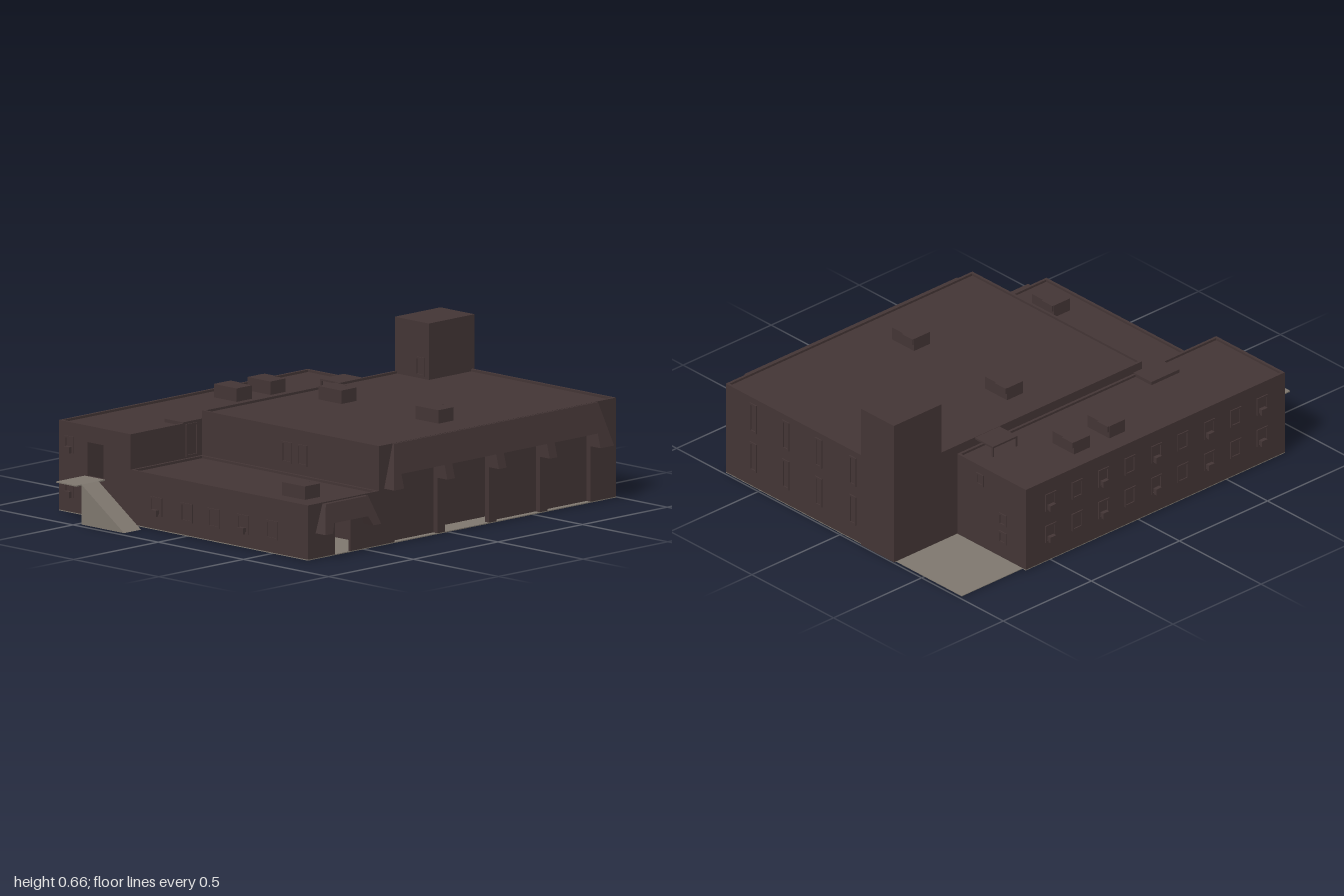
import * as THREE from 'three';

const brick = new THREE.MeshStandardMaterial({ color: 0x433535 });
brick.name = 'brick';
const paving = new THREE.MeshStandardMaterial({ color: 0x7e776e });
paving.name = 'paving';

export function createModel() {
  const model = new THREE.Group();

  const add = (name, geometry, material = brick, parent = model) => {
    const mesh = new THREE.Mesh(geometry, material);
    mesh.name = name;
    parent.add(mesh);
    return mesh;
  };
  // Box given by its limits on each axis
  const block = (name, x0, x1, y0, y1, z0, z1, material = brick, parent = model) => {
    const mesh = add(name, new THREE.BoxGeometry(x1 - x0, y1 - y0, z1 - z0), material, parent);
    mesh.position.set((x0 + x1) / 2, (y0 + y1) / 2, (z0 + z1) / 2);
    return mesh;
  };
  const polygon = points => new THREE.Shape(points.map(([x, y]) => new THREE.Vector2(x, y)));

  // Hollow building: grey floor, thin walls, sunken roof and low parapet; one wall may be left out
  const t = 0.012;
  const volume = (name, x0, x1, h, z0, z1, missing) => {
    const group = new THREE.Group();
    group.name = name;
    model.add(group);
    const y = h - 0.01;
    block('floor', x0, x1, 0, 0.004, z0, z1, paving, group);
    block('roof', x0 + t, x1 - t, y - t, y, z0 + t, z1 - t, brick, group);
    const walls = {
      back: [x0, x1, z0, z0 + t], front: [x0, x1, z1 - t, z1],
      left: [x0, x0 + t, z0 + t, z1 - t], right: [x1 - t, x1, z0 + t, z1 - t],
    };
    for (const [side, [a, b, c, d]] of Object.entries(walls)) {
      block(side + 'Wall', a, b, side === missing ? y - t : 0.004, h, c, d, brick, group);
    }
  };
  volume('mainHall', -0.41, 0.99, 0.425, -0.33, 0.71, 'front');
  volume('lowWing', -0.83, -0.41, 0.235, -0.33, 0.71, 'front');
  volume('backWing', -0.83, 0.64, 0.385, -0.75, -0.33, 'left');
  block('tower', 0.73, 1, 0.004, 0.655, -0.33, -0.13);

  // Low wing front wall around the open entrance
  block('entranceWallLeft', -0.83, -0.67, 0.004, 0.213, 0.71 - t, 0.71);
  block('entranceWallRight', -0.58, -0.41, 0.004, 0.213, 0.71 - t, 0.71);
  block('entranceLintel', -0.67, -0.58, 0.145, 0.213, 0.71 - t, 0.71);

  // Back wing end wall around the open side door
  block('endWallBack', -0.83, -0.83 + t, 0.004, 0.363, -0.738, -0.585);
  block('endWallFront', -0.83, -0.83 + t, 0.004, 0.363, -0.49, -0.342);
  block('endWallBelowDoor', -0.83, -0.83 + t, 0.004, 0.17, -0.585, -0.49);
  block('endWallAboveDoor', -0.83, -0.83 + t, 0.315, 0.363, -0.585, -0.49);

  // Hall front wall with four recessed vehicle doors, one slightly raised
  const bays = [[-0.32, -0.065], [-0.02, 0.24], [0.285, 0.54], [0.585, 0.84]];
  const facade = [[-0.41, 0.004]];
  for (const [a, b] of bays) facade.push([a, 0.004], [a, 0.3], [b, 0.3], [b, 0.004]);
  facade.push([0.99, 0.004], [0.99, 0.403], [-0.41, 0.403]);
  add('garageFrontWall', new THREE.ExtrudeGeometry(polygon(facade), { depth: 0.025, bevelEnabled: false }))
    .position.z = 0.685;
  bays.forEach(([a, b], i) =>
    block('garageDoor', a, b - 0.006, i === 1 ? 0.028 : 0.006, 0.292, 0.685, 0.692));

  // Sloping canopy: a front outline whose face leans outward towards the bottom
  const canopy = (name, points, top, z, slope) => {
    const geometry = new THREE.ExtrudeGeometry(polygon(points), { depth: 1, bevelEnabled: false });
    const p = geometry.attributes.position;
    for (let i = 0; i < p.count; i++) {
      p.setZ(i, p.getZ(i) > 0.5 ? z + (top - p.getY(i)) * slope : 0.705);
    }
    geometry.computeVertexNormals();
    add(name, geometry);
  };
  const skirt = [[-0.38, 0.24]];
  for (const [a, b] of bays) skirt.push([a, 0.24], [a, 0.3], [b, 0.3], [b, 0.24]);
  skirt.push([0.92, 0.24], [0.875, 0.424], [-0.33, 0.424]);
  canopy('garageCanopy', skirt, 0.424, 0.718, 0.27);
  canopy('entranceCanopy', [[-0.785, 0.11], [-0.74, 0.11], [-0.72, 0.15], [-0.52, 0.15], [-0.5, 0.11],
    [-0.455, 0.11], [-0.495, 0.23], [-0.745, 0.23]], 0.23, 0.73, 0.31);

  // Window frame standing on a wall; turn rotates it about y to face out of that wall
  const windowFrame = (name, x, y, z, w, h, turn, sill = false) => {
    const group = new THREE.Group();
    group.name = name;
    const shape = polygon([[-w / 2, -h / 2], [w / 2, -h / 2], [w / 2, h / 2], [-w / 2, h / 2]]);
    const a = w / 2 - 0.008, b = h / 2 - 0.008;
    shape.holes.push(polygon([[-a, -b], [-a, b], [a, b], [a, -b]]));
    add('frame', new THREE.ExtrudeGeometry(shape, { depth: 0.005, bevelEnabled: false }), brick, group);
    if (sill) block('windowUnit', -0.016, 0.016, -h / 2, -h / 2 + 0.027, 0, 0.018, brick, group);
    group.position.set(x, y, z);
    group.rotation.y = turn;
    model.add(group);
  };
  const right = Math.PI / 2, left = -right, back = Math.PI;

  // Tall windows on the hall side
  for (const z of [0.54, 0.34, 0.14, -0.07])
    for (const y of [0.145, 0.33]) windowFrame('hallSideWindow', 0.99, y, z, 0.042, 0.135, right);

  // Two rows across the back, with small units under every other window
  [0.5, 0.35, 0.2, 0.05, -0.1, -0.25, -0.4, -0.55, -0.7].forEach((x, i) => {
    for (const y of [0.13, 0.28]) windowFrame('backWindow', x, y, -0.75, 0.06, 0.08, back, i % 2 === 0);
  });

  // Back wing end walls
  for (const [y, z] of [[0.32, -0.47], [0.185, -0.61], [0.1, -0.61]])
    windowFrame('backWingEndWindow', 0.64, y, z, 0.045, 0.055, right);
  for (const y of [0.1, 0.29])
    windowFrame('backWingSideWindow', -0.83, y, -0.69, 0.05, 0.07, left, true);

  // Low wing side, and walls rising above the low roof
  [-0.18, 0, 0.16, 0.33, 0.5].forEach(z =>
    windowFrame('lowWingWindow', -0.83, 0.1, z, 0.07, 0.08, left, z === -0.18 || z === 0.33));
  for (const z of [0.17, 0.26]) windowFrame('upperHallWindow', -0.41, 0.32, z, 0.06, 0.09, left);
  windowFrame('lowRoofDoor', -0.47, 0.31, -0.33, 0.07, 0.14, 0);
  windowFrame('towerRoofDoor', 0.73, 0.465, -0.18, 0.05, 0.08, left);

  // Rooftop ventilation units with a raised side hood
  for (const [x, y, z] of [[0.17, 0.415, -0.11], [0.17, 0.415, 0.46], [0.03, 0.375, -0.585],
    [0.23, 0.375, -0.585], [-0.68, 0.225, 0.52]]) {
    block('roofUnit', x - 0.045, x + 0.045, y, y + 0.057, z - 0.067, z + 0.067);
    block('roofUnitHood', x + 0.045, x + 0.053, y + 0.03, y + 0.057, z - 0.065, z);
  }

  // Thin slabs on the back roof beside the hall: one low, one raised on posts
  block('roofSlab', -0.52, -0.36, 0.375, 0.39, -0.44, -0.33);
  block('roofShelter', 0.4, 0.54, 0.416, 0.424, -0.44, -0.33);
  for (const x of [0.4, 0.532]) block('shelterPost', x, x + 0.008, 0.375, 0.416, -0.44, -0.432);

  // Paved yard behind the tower
  block('yard', 0.64, 0.985, 0, 0.003, -0.73, -0.33, paving);

  // Side landing and a solid sloping stair down from it
  block('landing', -1, -0.83, 0.165, 0.17, -0.6, -0.48, paving);
  const stair = polygon([[0.48, 0], [0.48, 0.17], [0.23, 0]]);
  const flight = add('stairFlight', new THREE.ExtrudeGeometry(stair, { depth: 0.1, bevelEnabled: false }), paving);
  flight.rotation.y = right;
  flight.position.x = -0.97;

  return model;
}
